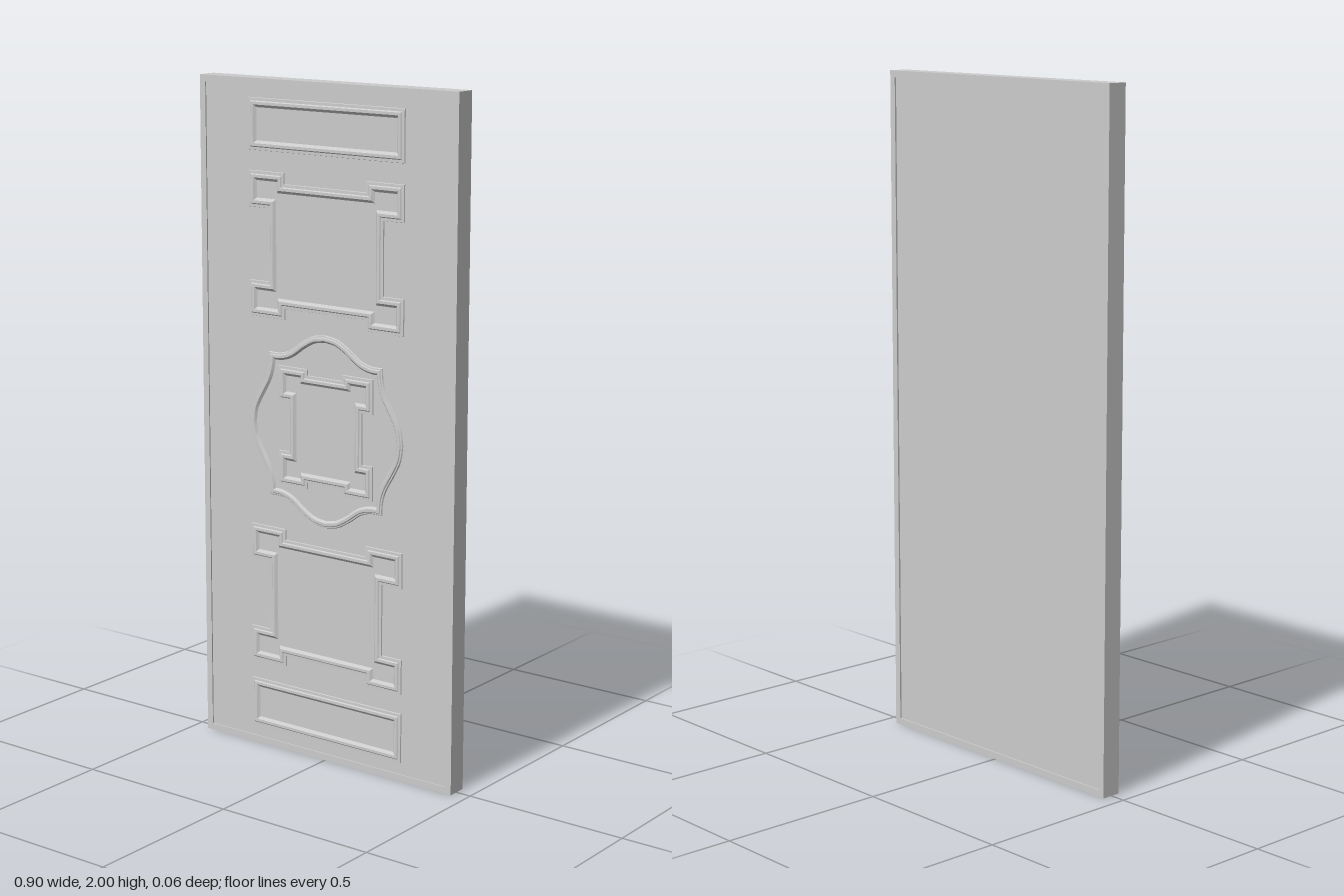
import * as THREE from 'three';
import { toCreasedNormals } from 'three/addons/utils/BufferGeometryUtils.js';

const W = 0.905, H = 2, RIM = 0.02;
const FIELD_Z = 0.025; // front face of the recessed field

// Moulding cross-section: [distance inwards, height above the field]
const PROFILE = [[0, 0], [0.001, 0.0035], [0.009, 0.004], [0.012, 0.007], [0.02, 0.007], [0.024, 0.003], [0.028, 0]];
const BEAD = [[0, 0], [0.002, 0.0035], [0.006, 0.004], [0.008, 0.0065], [0.012, 0.007], [0.016, 0.0065], [0.019, 0.003], [0.022, 0]];

// Mirrors a first-quadrant path into a closed counter-clockwise outline
function fourfold(q) {
  const flip = (sx, sy) => q.map(([x, y]) => new THREE.Vector2(x * sx, y * sy));
  const all = [...flip(1, 1), ...flip(-1, 1).reverse(), ...flip(-1, -1), ...flip(1, -1).reverse()];
  return all.filter((p, i) => p.distanceTo(all[(i + 1) % all.length]) > 1e-5);
}

// Sweeps a profile round an outline with mitred corners
function moulding(name, outline, profile, y, material) {
  const n = outline.length;
  const inward = (a, b) => new THREE.Vector2(a.y - b.y, b.x - a.x).normalize();
  const rings = outline.map((p, i) => {
    const n1 = inward(outline[(i + n - 1) % n], p);
    const n2 = inward(p, outline[(i + 1) % n]);
    const mitre = n1.clone().add(n2).divideScalar(1 + n1.dot(n2));
    return profile.map(([d, h]) => [p.x + mitre.x * d, p.y + mitre.y * d, h]);
  });
  const pos = [];
  for (let i = 0; i < n; i++) {
    const r = rings[i], s = rings[(i + 1) % n];
    for (let j = 0; j < profile.length - 1; j++) {
      pos.push(...r[j], ...s[j], ...s[j + 1], ...r[j], ...s[j + 1], ...r[j + 1]);
    }
  }
  const geo = new THREE.BufferGeometry();
  geo.setAttribute('position', new THREE.Float32BufferAttribute(pos, 3));
  const mesh = new THREE.Mesh(toCreasedNormals(geo, 0.4), material);
  mesh.name = name;
  mesh.position.set(0, y, FIELD_Z);
  return mesh;
}

// Rectangle with a projecting square block at each corner
const fret = (hx, hy, cx, cy, ex, ey) => fourfold([[ex, cy], [hx, cy], [hx, hy], [cx, hy], [cx, ey]]);

// Four ogee sides meeting in cusps
function ogee() {
  const arc = (pts) => new THREE.CatmullRomCurve3(pts.map(([x, y]) => new THREE.Vector3(x, y, 0)))
    .getPoints(16).map((p) => [p.x, p.y]);
  const side = arc([[0.275, 0], [0.268, 0.045], [0.246, 0.09], [0.217, 0.14], [0.206, 0.175], [0.203, 0.215]]);
  const top = arc([[0.203, 0.215], [0.165, 0.215], [0.13, 0.225], [0.085, 0.256], [0.043, 0.278], [0, 0.285]]);
  return fourfold([...side, ...top]);
}

export function createModel() {
  const group = new THREE.Group();
  group.name = 'doorPanel';
  const material = new THREE.MeshStandardMaterial({ color: 0xcccccc });

  // Recessed field
  const field = new THREE.Mesh(new THREE.BoxGeometry(W - 2 * RIM, H - 2 * RIM, FIELD_Z + 0.027), material);
  field.name = 'field';
  field.position.set(0, H / 2, (FIELD_Z - 0.027) / 2);
  group.add(field);

  // Raised rim round the edge, proud on both faces
  const shape = new THREE.Shape(fourfold([[W / 2, H / 2]]));
  shape.holes.push(new THREE.Path(fourfold([[W / 2 - RIM, H / 2 - RIM]]).reverse()));
  const rim = new THREE.Mesh(new THREE.ExtrudeGeometry(shape, { depth: 0.061, bevelEnabled: false }), material);
  rim.name = 'rim';
  rim.position.set(0, H / 2, -0.032);
  group.add(rim);

  // Mouldings mirrored above and below the middle
  for (const [s, label] of [[1, 'upper'], [-1, 'lower']]) {
    group.add(moulding(label + 'BarMoulding', fourfold([[0.275, 0.075]]), PROFILE, 1 + s * 0.87, material));
    group.add(moulding(label + 'FretMoulding', fret(0.275, 0.212, 0.145, 0.106, 0.205, 0.18), PROFILE, 1 + s * 0.525, material));
  }

  // Central medallion
  group.add(moulding('medallionRing', ogee(), BEAD, 1, material));
  group.add(moulding('medallionFret', fret(0.17, 0.178, 0.063, 0.075, 0.133, 0.16), PROFILE, 1, material));
  return group;
}
